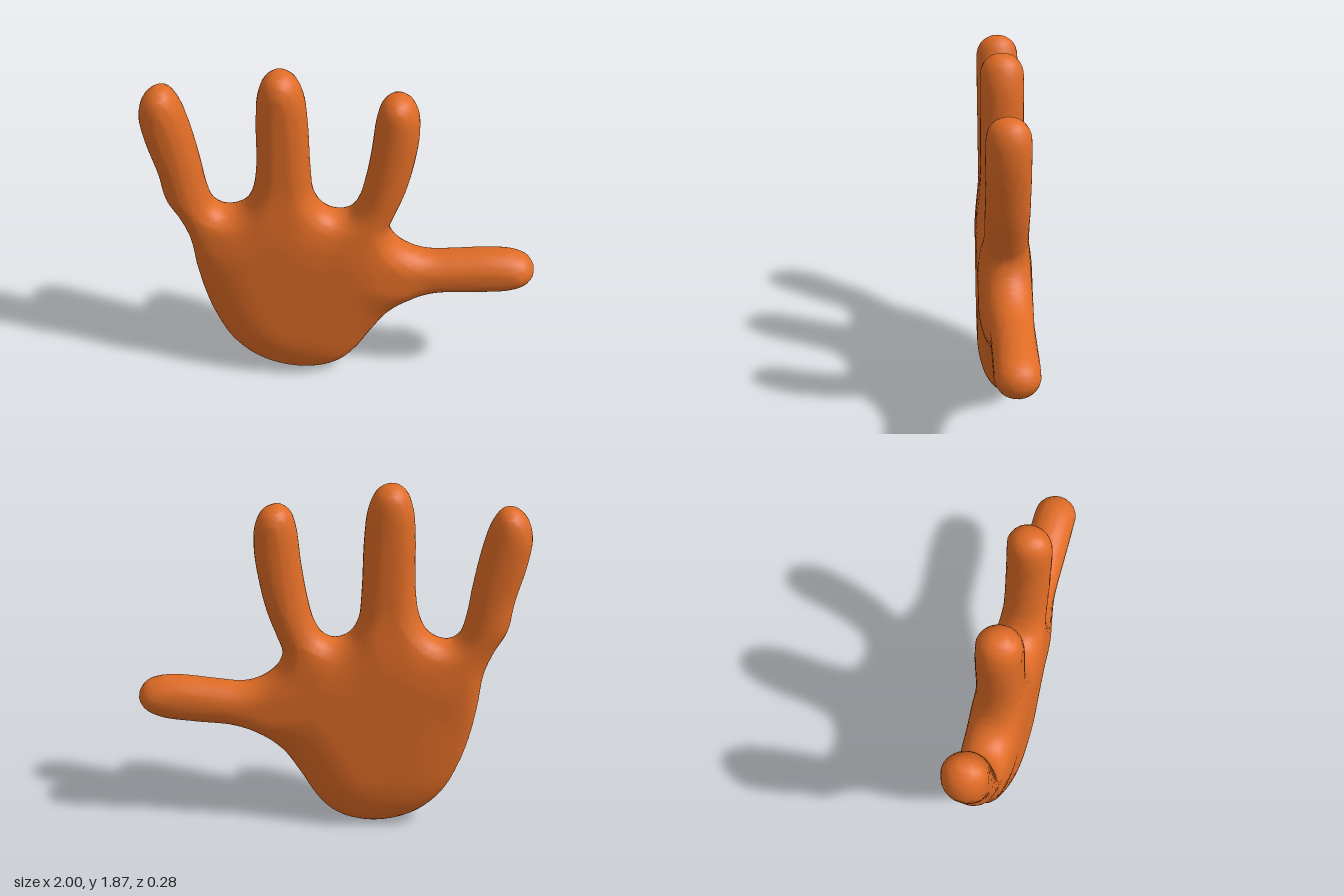
import * as THREE from 'three';

// Silhouette of the hand, counter-clockwise from the heel of the palm.
const OUTLINE = [
  [-0.23, 0.005], [-0.09, 0.025], [0.01, 0.08], [0.08, 0.16], [0.16, 0.29], [0.25, 0.42], [0.36, 0.51],
  // thumb
  [0.5, 0.56], [0.7, 0.575], [0.88, 0.595], [0.97, 0.64], [1.0, 0.705], [0.97, 0.775], [0.9, 0.81],
  [0.78, 0.82], [0.6, 0.805], [0.45, 0.797], [0.35, 0.83], [0.27, 0.9], [0.243, 0.975],
  // index finger
  [0.27, 1.06], [0.32, 1.2], [0.36, 1.38], [0.38, 1.55], [0.37, 1.67], [0.33, 1.74], [0.26, 1.765],
  [0.2, 1.73], [0.17, 1.65], [0.145, 1.45], [0.115, 1.27], [0.08, 1.14], [0.03, 1.065], [-0.03, 1.05],
  // middle finger
  [-0.1, 1.085], [-0.145, 1.17], [-0.16, 1.32], [-0.17, 1.6], [-0.19, 1.76], [-0.235, 1.85],
  [-0.305, 1.88], [-0.37, 1.85], [-0.41, 1.76], [-0.425, 1.6], [-0.43, 1.35], [-0.45, 1.2],
  [-0.49, 1.11], [-0.55, 1.065], [-0.61, 1.06],
  // outer finger
  [-0.66, 1.1], [-0.69, 1.2], [-0.715, 1.36], [-0.76, 1.58], [-0.8, 1.7], [-0.85, 1.765],
  [-0.91, 1.77], [-0.97, 1.72], [-1.0, 1.62], [-0.985, 1.49], [-0.93, 1.28], [-0.9, 1.12],
  // outer side of the palm
  [-0.84, 1.01], [-0.79, 0.88], [-0.765, 0.7], [-0.73, 0.52], [-0.68, 0.36], [-0.6, 0.2],
  [-0.49, 0.09], [-0.37, 0.03],
];

const { smoothstep, lerp } = THREE.MathUtils;
const edge = new THREE.CatmullRomCurve3(
  OUTLINE.map(([x, y]) => new THREE.Vector3(x, y, 0)), true).getPoints(280);

// Signed distance to the silhouette, positive inside.
function depthInside(x, y) {
  let best = Infinity, inside = false;
  for (let i = 0; i < edge.length - 1; i++) {
    const a = edge[i], b = edge[i + 1];
    const ex = b.x - a.x, ey = b.y - a.y, px = x - a.x, py = y - a.y;
    const t = Math.min(1, Math.max(0, (px * ex + py * ey) / (ex * ex + ey * ey || 1)));
    best = Math.min(best, (px - t * ex) ** 2 + (py - t * ey) ** 2);
    if ((a.y > y) !== (b.y > y) && x < a.x + (ex * (y - a.y)) / ey) inside = !inside;
  }
  return (inside ? 1 : -1) * Math.sqrt(best);
}

// Rounded section: tubular in the fingers, a broad thicker pad in the palm.
function field(x, y, z, depth = depthInside(x, y)) {
  const e = Math.hypot((x + 0.25) / 0.6, (y - 0.4) / 0.7);
  const rim = lerp(0.3, 0.107, smoothstep(e, 0.6, 1.05));
  const half = lerp(0.141, 0.112, smoothstep(e, 0.7, 1.25));
  const middle = -0.02 * smoothstep(x, 0.1, 0.5);
  return (1 - Math.min(depth / rim, 1)) ** 2 + ((z - middle) / half) ** 2 - 1;
}

// Pull a point onto the surface along the gradient.
function settle(p) {
  const h = 0.004;
  for (let n = 0; n < 4; n++) {
    const [x, y, z] = p;
    const f = field(x, y, z);
    const g = [
      (field(x + h, y, z) - field(x - h, y, z)) / (2 * h),
      (field(x, y + h, z) - field(x, y - h, z)) / (2 * h),
      (field(x, y, z + h) - field(x, y, z - h)) / (2 * h),
    ];
    const k = f / Math.max(g[0] ** 2 + g[1] ** 2 + g[2] ** 2, 1);
    const limit = Math.min(1, 0.012 / (Math.abs(k) * Math.hypot(...g) + 1e-9));
    for (let i = 0; i < 3; i++) p[i] -= g[i] * k * limit;
  }
  return p;
}

// Skin the field with one vertex per crossed cell and one quad per crossed edge.
function skinGeometry(step) {
  const min = [-1.06, -0.06, -0.19], max = [1.06, 1.94, 0.19];
  const size = min.map((m, i) => Math.ceil((max[i] - m) / step) + 1);
  const stride = [1, size[0], size[0] * size[1]];
  const values = new Float32Array(size[0] * size[1] * size[2]);
  for (let j = 0; j < size[1]; j++) for (let i = 0; i < size[0]; i++) {
    const x = min[0] + i * step, y = min[1] + j * step, d = depthInside(x, y);
    for (let k = 0; k < size[2]; k++)
      values[i + j * stride[1] + k * stride[2]] = field(x, y, min[2] + k * step, d);
  }

  const cellVertex = new Map(), positions = [], indices = [];
  const eachCell = (visit) => {
    for (let k = 0; k < size[2] - 1; k++) for (let j = 0; j < size[1] - 1; j++)
      for (let i = 0; i < size[0] - 1; i++) visit([i, j, k], i + j * stride[1] + k * stride[2]);
  };

  eachCell((cell, id) => {
    const sum = [0, 0, 0];
    let count = 0;
    for (let c = 0; c < 8; c++) for (let a = 0; a < 3; a++) {
      if (c & (1 << a)) continue;
      const corner = [c & 1, (c >> 1) & 1, (c >> 2) & 1];
      const at = id + corner[0] + corner[1] * stride[1] + corner[2] * stride[2];
      const v0 = values[at], v1 = values[at + stride[a]];
      if ((v0 < 0) === (v1 < 0)) continue;
      corner[a] = v0 / (v0 - v1);
      for (let n = 0; n < 3; n++) sum[n] += corner[n];
      count++;
    }
    if (!count) return;
    cellVertex.set(id, positions.length / 3);
    positions.push(...settle(sum.map((s, n) => min[n] + (cell[n] + s / count) * step)));
  });

  eachCell((cell, id) => {
    for (let a = 0; a < 3; a++) {
      const inside = values[id] < 0;
      if (inside === (values[id + stride[a]] < 0)) continue;
      const b = stride[(a + 1) % 3], c = stride[(a + 2) % 3];
      const q = [id - b - c, id - c, id, id - b].map((n) => cellVertex.get(n));
      if (!inside) q.reverse();
      indices.push(q[0], q[1], q[2], q[0], q[2], q[3]);
    }
  });

  const geometry = new THREE.BufferGeometry();
  geometry.setAttribute('position', new THREE.Float32BufferAttribute(positions, 3));
  geometry.setIndex(indices);
  geometry.computeVertexNormals();
  return geometry;
}

export function createModel() {
  const orange = new THREE.MeshStandardMaterial({ color: 0xe06c26 });
  orange.name = 'orange';
  const hand = new THREE.Mesh(skinGeometry(0.025), orange);
  hand.name = 'hand';
  const group = new THREE.Group();
  group.name = 'openHand';
  group.add(hand);
  return group;
}
